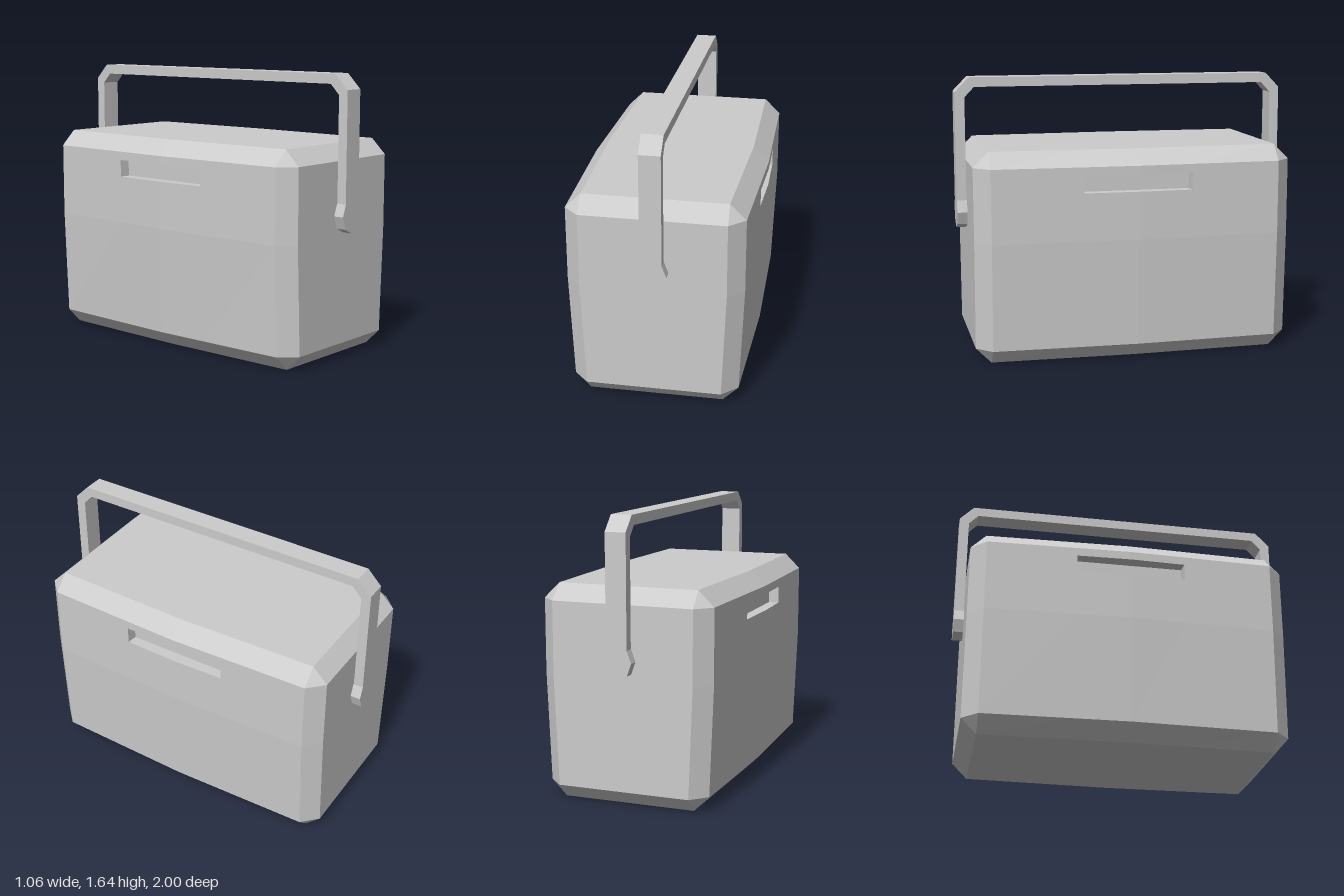
import * as THREE from 'three';

const material = new THREE.MeshStandardMaterial({ color: 0xcccccc, flatShading: true });
const END = 0.85, GRIP = 0.32; // z of the corner chamfer and of the grip recess ends

// Collects triangles as a flat list, dropping degenerate ones
function triangleSoup() {
  const pos = [];
  const tri = (...pts) => {
    const area = new THREE.Triangle(...pts).getArea();
    if (area > 1e-7) pts.forEach((p) => pos.push(p.x, p.y, p.z));
  };
  const quad = (a, b, c, d) => { tri(a, b, c); tri(a, c, d); };
  const fan = (pts) => { for (let i = 1; i < pts.length - 1; i++) tri(pts[0], pts[i], pts[i + 1]); };
  const geometry = () => {
    const g = new THREE.BufferGeometry();
    g.setAttribute('position', new THREE.Float32BufferAttribute(pos, 3));
    g.computeVertexNormals();
    return g;
  };
  return { quad, fan, geometry };
}

// Horizontal outline: bowed sides, chamfered corners, flat ends
function ring([y, end, side, mid, zEnd]) {
  const atGrip = mid + (side - mid) * (GRIP / END);
  const half = [[side, END], [atGrip, GRIP], [mid, 0], [atGrip, -GRIP], [side, -END],
    [end, -zEnd], [-end, -zEnd]];
  return [...half, ...half.map(([x, z]) => [-x, -z])].map(([x, z]) => new THREE.Vector3(x, y, z));
}

function createBody() {
  // y, end half width, side x at the corners, side x at the middle, end z
  const rings = [
    [0, 0.39, 0.39, 0.41, 0.85],
    [0.09, 0.39, 0.48, 0.503, 0.94],
    [0.72, 0.415, 0.505, 0.53, 0.94],
    [1.0, 0.415, 0.505, 0.53, 0.94],
    [1.1, 0.415, 0.505, 0.53, 0.94],
    [1.15, 0.415, 0.505, 0.53, 0.94],
    [1.24, 0.413, 0.413, 0.437, 0.85],
  ].map(ring);
  const soup = triangleSoup();
  const n = rings[0].length;
  for (let j = 0; j < rings.length - 1; j++) {
    for (let i = 0; i < n; i++) {
      const column = i % (n / 2);
      if (j === 3 && (column === 1 || column === 2)) continue; // recess opening
      const k = (i + 1) % n;
      soup.quad(rings[j][i], rings[j][k], rings[j + 1][k], rings[j + 1][i]);
    }
  }
  soup.fan(rings[rings.length - 1]);
  soup.fan([...rings[0]].reverse());
  const body = new THREE.Mesh(soup.geometry(), material);
  body.name = 'body';

  // Grip recess on each side: tapered walls and a flat back
  const recesses = [1, -1].map((sign) => {
    const s = triangleSoup();
    const o = sign > 0 ? 1 : n / 2 + 1;
    const [low, high] = [rings[3], rings[4]];
    const mouth = [low[o], low[o + 1], low[o + 2], high[o + 2], high[o + 1], high[o]];
    const back = mouth.map((p) =>
      new THREE.Vector3(sign * 0.46, p.y > 1.05 ? 1.095 : 1.0, p.z * 0.98));
    mouth.forEach((p, i) => {
      const k = (i + 1) % mouth.length;
      s.quad(p, mouth[k], back[k], back[i]);
    });
    s.fan(back);
    const recess = new THREE.Mesh(s.geometry(), material);
    recess.name = sign > 0 ? 'leftGripRecess' : 'rightGripRecess';
    return recess;
  });
  return [body, ...recesses];
}

const shapeOf = (pts) => new THREE.Shape(pts.map(([x, y]) => new THREE.Vector2(x, y)));

function createHandle() {
  const handle = new THREE.Group();
  handle.name = 'handle';
  handle.position.x = 0.004;

  // Carrying bar: chamfered arch drawn in z/y, extruded across x
  const outer = [[1, 0.91], [1, 1.55], [0.915, 1.637]];
  const inner = [[0.885, 1.58], [0.942, 1.52], [0.942, 0.91]];
  const mirror = (pts) => pts.map(([z, y]) => [-z, y]).reverse();
  const arch = [...outer, ...mirror(outer), ...mirror(inner), ...inner];
  const barGeo = new THREE.ExtrudeGeometry(shapeOf(arch), { depth: 0.122, bevelEnabled: false });
  barGeo.translate(0, 0, -0.061).rotateY(-Math.PI / 2);
  const bar = new THREE.Mesh(barGeo, material);
  bar.name = 'handleBar';
  handle.add(bar);

  // Pivot pads at the foot of each arm
  const pad = [[0.061, 0.91], [-0.061, 0.91], [-0.087, 0.84], [-0.061, 0.767], [0, 0.738],
    [0.061, 0.767], [0.087, 0.84]];
  for (const z of [0.938, -1]) {
    const geo = new THREE.ExtrudeGeometry(shapeOf(pad), { depth: 0.062, bevelEnabled: false });
    const pivot = new THREE.Mesh(geo.translate(0, 0, z), material);
    pivot.name = z > 0 ? 'frontPivot' : 'backPivot';
    handle.add(pivot);
  }
  return handle;
}

export function createModel() {
  const model = new THREE.Group();
  model.name = 'coolBox';
  model.add(...createBody(), createHandle());
  return model;
}
